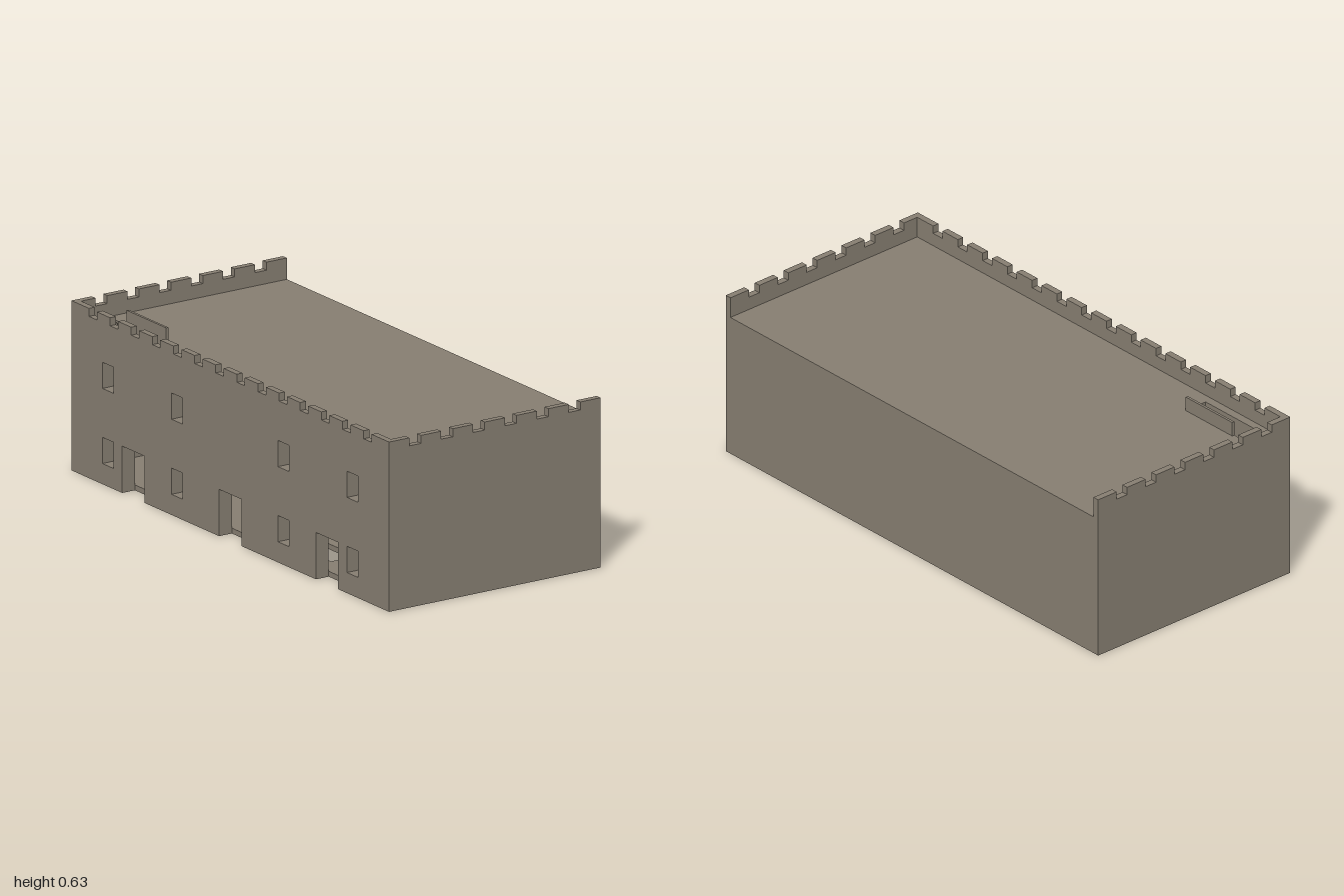
import * as THREE from 'three';

const W = 0.457, L = 1, T = 0.055, P = 0.025; // half width, half length, wall and parapet thickness
const ROOF = 0.555, MID = 0.28;

export function createModel() {
  const model = new THREE.Group();
  const stone = new THREE.MeshStandardMaterial({ color: 0x857d70 });
  stone.name = 'stone';

  const add = (name, geometry, parent = model) => {
    const mesh = new THREE.Mesh(geometry, stone);
    mesh.name = name;
    parent.add(mesh);
    return mesh;
  };
  const box = (name, x0, x1, y0, y1, z0, z1, parent) =>
    add(name, new THREE.BoxGeometry(x1 - x0, y1 - y0, z1 - z0)
      .translate((x0 + x1) / 2, (y0 + y1) / 2, (z0 + z1) / 2), parent);
  const polygon = (points) => points.map(([x, y]) => new THREE.Vector2(x, y));
  const rect = (x0, x1, y0, y1) => polygon([[x0, y0], [x1, y0], [x1, y1], [x0, y1]]);
  const extrude = (points, holes, depth) => {
    const shape = new THREE.Shape(points);
    shape.holes = holes.map((h) => new THREE.Path(h));
    return new THREE.ExtrudeGeometry(shape, { depth, bevelEnabled: false });
  };

  // Floor slab between the walls with a stair opening [x0, x1, z0, z1]
  const slab = (name, y0, y1, [x0, x1, z0, z1]) =>
    add(name, extrude(rect(-W + T, W - T, -L + T, L - T), [rect(x0, x1, -z1, -z0)], y1 - y0)
      .rotateX(-Math.PI / 2).translate(0, y0, 0));

  // Plain outer walls
  box('leftWall', W - T, W, 0, ROOF, -L, L);
  box('frontWall', -W + T, W - T, 0, ROOF, L - T, L);
  box('backWall', -W + T, W - T, 0, ROOF, -L, -L + T);

  // Entrance wall with three doorways and two rows of windows
  const outline = [[-L, 0]];
  for (const z of [-0.61, 0, 0.61]) {
    outline.push([z - 0.07, 0], [z - 0.07, 0.175], [z + 0.07, 0.175], [z + 0.07, 0]);
  }
  outline.push([L, 0], [L, ROOF], [-L, ROOF]);
  const windows = [];
  for (const z of [-0.77, -0.335, 0.335, 0.77]) {
    for (const y of [0.077, 0.358]) windows.push(rect(z - 0.035, z + 0.035, y, y + 0.098));
  }
  add('entranceWall', extrude(polygon(outline), windows, T)
    .rotateY(-Math.PI / 2).translate(-W + T, 0, 0));

  // Floors and roof
  slab('groundFloor', 0, 0.02, [-0.33, -0.22, 0.1, 0.45]);
  slab('upperFloor', MID - 0.025, MID, [-W + T + 0.002, -0.315, 0.6, 0.93]);
  slab('roof', ROOF - 0.025, ROOF, [-W + T + 0.002, -0.315, -0.935, -0.61]);

  // Room partitions on both storeys
  for (const z of [-0.52, 0.08]) {
    box('lowerPartition', -W + T, W - T, 0.02, MID - 0.025, z - 0.01, z + 0.01);
    box('upperPartition', -W + T, W - T, MID, ROOF - 0.025, z - 0.01, z + 0.01);
  }

  // Battlements: strip with evenly spaced notches
  const battlement = (half, count, pitch) => {
    const pts = [[-half, ROOF], [half, ROOF], [half, 0.635]];
    for (let i = count - 1; i >= 0; i--) {
      const c = (i - (count - 1) / 2) * pitch;
      pts.push([c + 0.025, 0.635], [c + 0.025, 0.605], [c - 0.025, 0.605], [c - 0.025, 0.635]);
    }
    pts.push([-half, 0.635]);
    return extrude(polygon(pts), [], P);
  };
  add('frontBattlement', battlement(W, 6, 0.1377).translate(0, 0, L - P));
  add('backBattlement', battlement(W, 6, 0.1377).translate(0, 0, -L));
  add('entranceBattlement', battlement(L - P, 14, 0.133)
    .rotateY(-Math.PI / 2).translate(-W + P, 0, 0));

  // Stairs climbing from z0 towards z1
  const stairs = (name, y0, y1, z0, z1) => {
    const group = new THREE.Group();
    group.name = name;
    const n = 16, rise = (y1 - y0) / n, run = (z1 - z0) / n;
    for (let i = 0; i < n; i++) {
      const a = z0 + i * run, b = a + run, top = y0 + (i + 1) * rise;
      box('step', -W + T + 0.004, -0.32, Math.max(y0, top - 2 * rise), top,
        Math.min(a, b), Math.max(a, b), group);
    }
    model.add(group);
  };
  stairs('lowerStairs', 0.02, MID, 0.6, 0.925);
  stairs('upperStairs', MID, ROOF - 0.005, -0.61, -0.93);

  // Low guard wall beside the roof opening
  box('roofStairGuard', -0.315, -0.305, ROOF, 0.61, -0.86, -0.61);

  return model;
}
